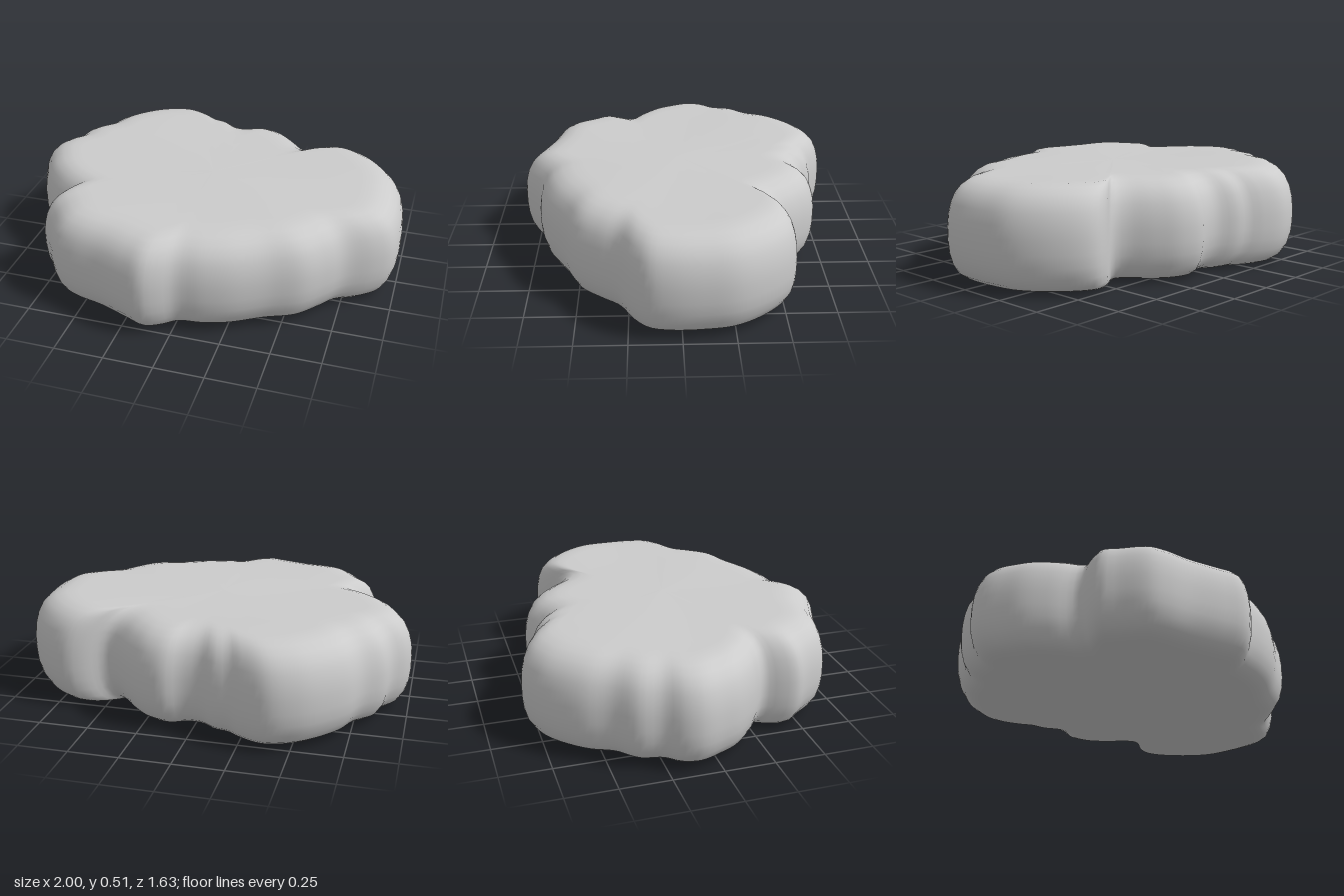
import * as THREE from 'three';

// Lobed outline of the slab as x, z pairs, clockwise seen from above
const OUTLINE = [
  -0.4, -0.82, -0.27, -0.78, -0.21, -0.745, -0.13, -0.73, -0.04, -0.68, 0.05, -0.68,
  0.13, -0.71, 0.24, -0.68, 0.34, -0.6, 0.44, -0.5, 0.5, -0.475, 0.6, -0.53,
  0.68, -0.55, 0.76, -0.52, 0.88, -0.41, 0.97, -0.26, 0.995, -0.1, 0.995, 0.06,
  0.97, 0.16, 0.9, 0.23, 0.77, 0.31, 0.7, 0.4, 0.6, 0.51, 0.45, 0.58,
  0.28, 0.67, 0.15, 0.71, 0.02, 0.73, -0.05, 0.78, -0.13, 0.815, -0.24, 0.78,
  -0.4, 0.72, -0.55, 0.68, -0.63, 0.64, -0.72, 0.52, -0.77, 0.45, -0.755, 0.37,
  -0.73, 0.29, -0.83, 0.2, -0.92, 0.1, -0.96, 0.02, -1, -0.1, -0.98, -0.19,
  -0.92, -0.27, -0.89, -0.38, -0.8, -0.48, -0.74, -0.6, -0.64, -0.71, -0.54, -0.78,
];

// Edge profile from the underside to the top: [inset, height, extra scale]
const PROFILE = [
  [0.2, 0.01, 0], [0.2, 0.01, 0.4], [0.2, 0.01, 0.75], [0.18, 0.01, 1], [0.12, 0.014, 1],
  [0.085, 0.026, 1], [0.05, 0.05, 1], [0.022, 0.095, 1], [0.006, 0.15, 1], [0, 0.21, 1],
  [0, 0.28, 1], [0.007, 0.34, 1], [0.022, 0.395, 1], [0.045, 0.44, 1], [0.08, 0.475, 1],
  [0.125, 0.499, 1], [0.18, 0.51, 1], [0.24, 0.512, 1], [0.24, 0.512, 0.75],
  [0.24, 0.51, 0.4], [0.24, 0.51, 0],
];

// Slight unevenness of the flat faces
const ripple = (x, z) => 0.005 * Math.sin(5 * x + 1) * Math.cos(6 * z - 0.5);

function slabGeometry(sides) {
  const points = [];
  for (let i = 0; i < OUTLINE.length; i += 2) {
    points.push(new THREE.Vector3(OUTLINE[i], 0, OUTLINE[i + 1]));
  }
  const rim = new THREE.CatmullRomCurve3(points, true).getSpacedPoints(sides).slice(0, sides);

  // Stack one ring of vertices per profile step
  const positions = [];
  for (const [inset, y, scale] of PROFILE) {
    for (const p of rim) {
      const s = scale * (1 - inset / p.length());
      positions.push(p.x * s, y + ripple(p.x * s, p.z * s), p.z * s);
    }
  }

  // Join neighbouring rings
  const index = [];
  for (let j = 0; j < PROFILE.length - 1; j++) {
    for (let i = 0; i < sides; i++) {
      const k = (i + 1) % sides;
      const a = j * sides + i, b = j * sides + k;
      index.push(a, a + sides, b, b, a + sides, b + sides);
    }
  }
  const geometry = new THREE.BufferGeometry();
  geometry.setAttribute('position', new THREE.Float32BufferAttribute(positions, 3));
  geometry.setIndex(index);
  geometry.computeVertexNormals();
  return geometry;
}

export function createModel() {
  const group = new THREE.Group();
  group.name = 'stone';
  const material = new THREE.MeshStandardMaterial({ color: 0xcccccc });
  const slab = new THREE.Mesh(slabGeometry(192), material);
  slab.name = 'slab';
  group.add(slab);
  return group;
}
